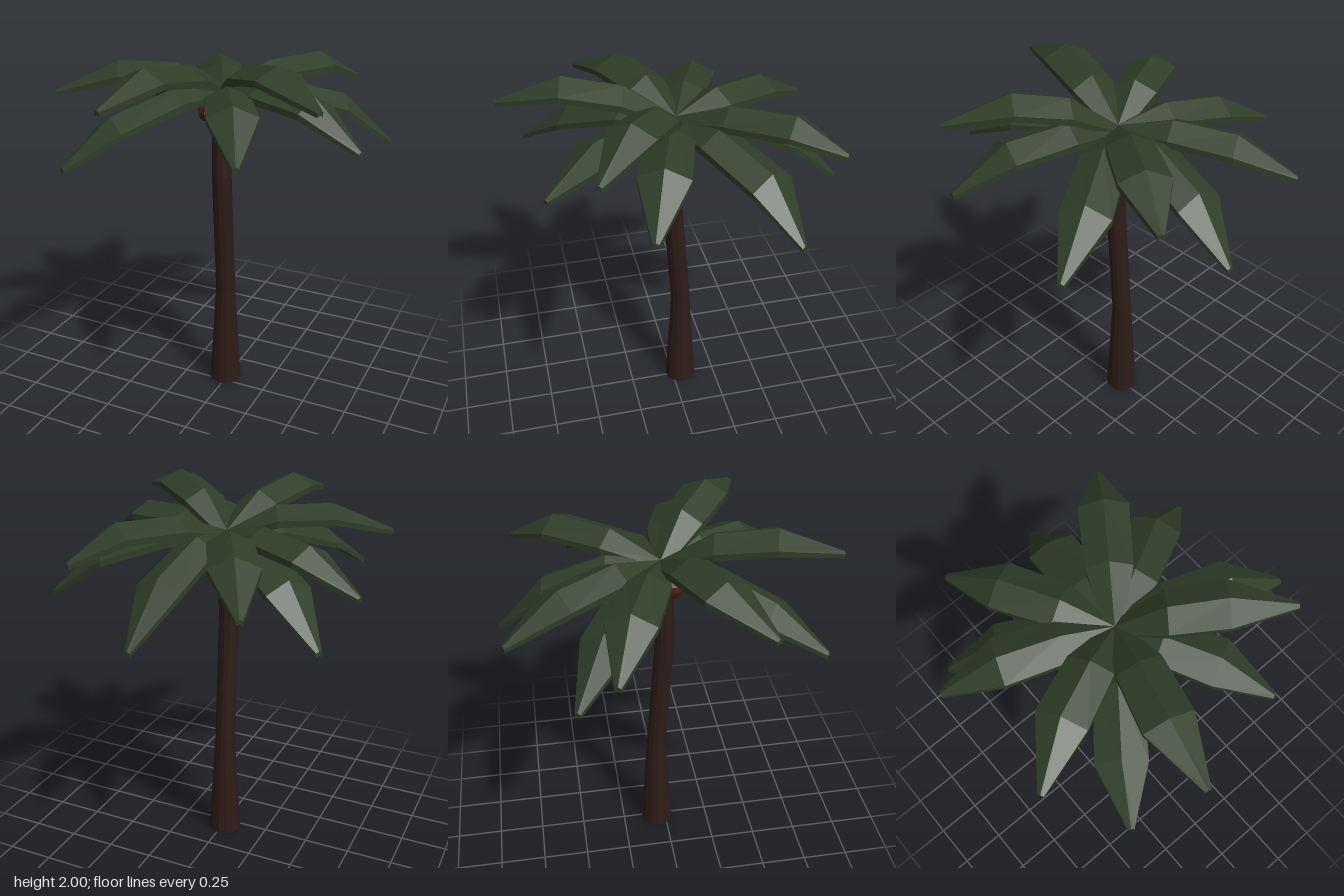
import * as THREE from 'three';

const leafMat = new THREE.MeshStandardMaterial({ color: 0x2f3d28, flatShading: true, side: THREE.DoubleSide });
const barkMat = new THREE.MeshStandardMaterial({ color: 0x2e1c18, flatShading: true });
const nutMat = new THREE.MeshStandardMaterial({ color: 0x4a1c10, flatShading: true });

// Closed skin over equal-sized rings of points, capped at both ends
function loft(rings) {
  const n = rings[0].length;
  const index = [];
  for (let r = 0; r < rings.length - 1; r++) {
    for (let i = 0; i < n; i++) {
      const a = r * n + i, b = r * n + (i + 1) % n;
      index.push(a, b, b + n, a, b + n, a + n);
    }
  }
  const last = (rings.length - 1) * n;
  for (let i = 1; i < n - 1; i++) {
    index.push(0, i + 1, i, last, last + i, last + i + 1);
  }
  const g = new THREE.BufferGeometry();
  g.setAttribute('position', new THREE.Float32BufferAttribute(rings.flat(2), 3));
  g.setIndex(index);
  g.computeVertexNormals();
  return g;
}

// Folded frond: ridge along the middle, both halves sloping down, slightly thick
function frondGeometry([tipX, tipY, tipZ, midX, midY, midZ, innerY]) {
  const base = [-0.01, 1.78, -0.02];
  const k = 0.46;
  const inner = [base[0] + (midX - base[0]) * k, innerY, base[2] + (midZ - base[2]) * k];
  const len = Math.hypot(tipX - base[0], tipZ - base[2]);
  const sx = -(tipZ - base[2]) / len, sz = (tipX - base[0]) / len;
  // ridge point, half width, drop of the edges, thickness
  const sections = [
    [base, 0.04, 0.02, 0.03],
    [inner, 0.115, 0.055, 0.035],
    [[midX, midY, midZ], 0.125, 0.055, 0.03],
    [[tipX, tipY, tipZ], 0.016, 0.008, 0.022],
  ];
  return loft(sections.map(([[x, y, z], w, drop, t]) => [
    [x - sx * w, y - drop, z - sz * w],
    [x - sx * w, y - drop - t, z - sz * w],
    [x, y - t, z],
    [x + sx * w, y - drop - t, z + sz * w],
    [x + sx * w, y - drop, z + sz * w],
    [x, y, z],
  ]));
}

export function createModel() {
  const palm = new THREE.Group();
  palm.name = 'palmTree';

  // Trunk: flared foot and a gentle lean; rows are y, centre z, radius
  const rows = [[0, -0.05, 0.09], [0.6, -0.05, 0.055], [1.3, 0, 0.053], [1.74, -0.012, 0.055]];
  const sides = 12;
  const rings = rows.map(([y, z, r]) => Array.from({ length: sides }, (_, i) => {
    const a = -i / sides * Math.PI * 2;
    return [-0.013 + r * Math.cos(a), y, z + r * Math.sin(a)];
  }));
  const trunk = new THREE.Mesh(loft(rings), barkMat);
  trunk.name = 'trunk';
  palm.add(trunk);

  // Fronds: tip, middle ridge point, inner ridge height
  const tiers = {
    upperFrond: [
      [0.68, 1.875, 0.475, 0.405, 2.0, 0.28, 1.95],
      [0.48, 1.745, -0.74, 0.34, 1.9, -0.52, 1.89],
      [-0.77, 1.775, 0.38, -0.5, 1.92, 0.2, 1.91],
      [-0.22, 1.865, 0.845, -0.165, 1.985, 0.523, 1.94],
    ],
    middleFrond: [
      [-0.43, 1.64, -0.815, -0.287, 1.82, -0.546, 1.85],
      [-0.815, 1.64, -0.335, -0.533, 1.82, -0.237, 1.85],
      [0.375, 1.64, 0.685, 0.245, 1.83, 0.43, 1.85],
      [0.815, 1.64, 0.265, 0.55, 1.84, 0.165, 1.86],
    ],
    lowerFrond: [
      [0.11, 1.41, -0.85, 0.07, 1.69, -0.61, 1.81],
      [0.785, 1.48, -0.435, 0.54, 1.73, -0.345, 1.82],
      [-0.69, 1.42, -0.51, -0.48, 1.68, -0.36, 1.8],
      [-0.53, 1.5, 0.71, -0.388, 1.71, 0.475, 1.81],
    ],
  };
  const crown = new THREE.Group();
  crown.name = 'crown';
  for (const [name, fronds] of Object.entries(tiers)) {
    fronds.forEach((f, i) => {
      const frond = new THREE.Mesh(frondGeometry(f), leafMat);
      frond.name = `${name}${i + 1}`;
      crown.add(frond);
    });
  }
  palm.add(crown);

  // Coconuts clustered round the top of the trunk
  const nutGeometry = new THREE.SphereGeometry(0.05, 8, 6);
  for (let i = 0; i < 4; i++) {
    const a = Math.PI / 4 + 0.15 + i * Math.PI / 2;
    const nut = new THREE.Mesh(nutGeometry, nutMat);
    nut.name = `coconut${i + 1}`;
    nut.position.set(-0.017 + 0.08 * Math.cos(a), 1.655, -0.013 + 0.08 * Math.sin(a));
    nut.rotation.y = a;
    palm.add(nut);
  }
  return palm;
}
